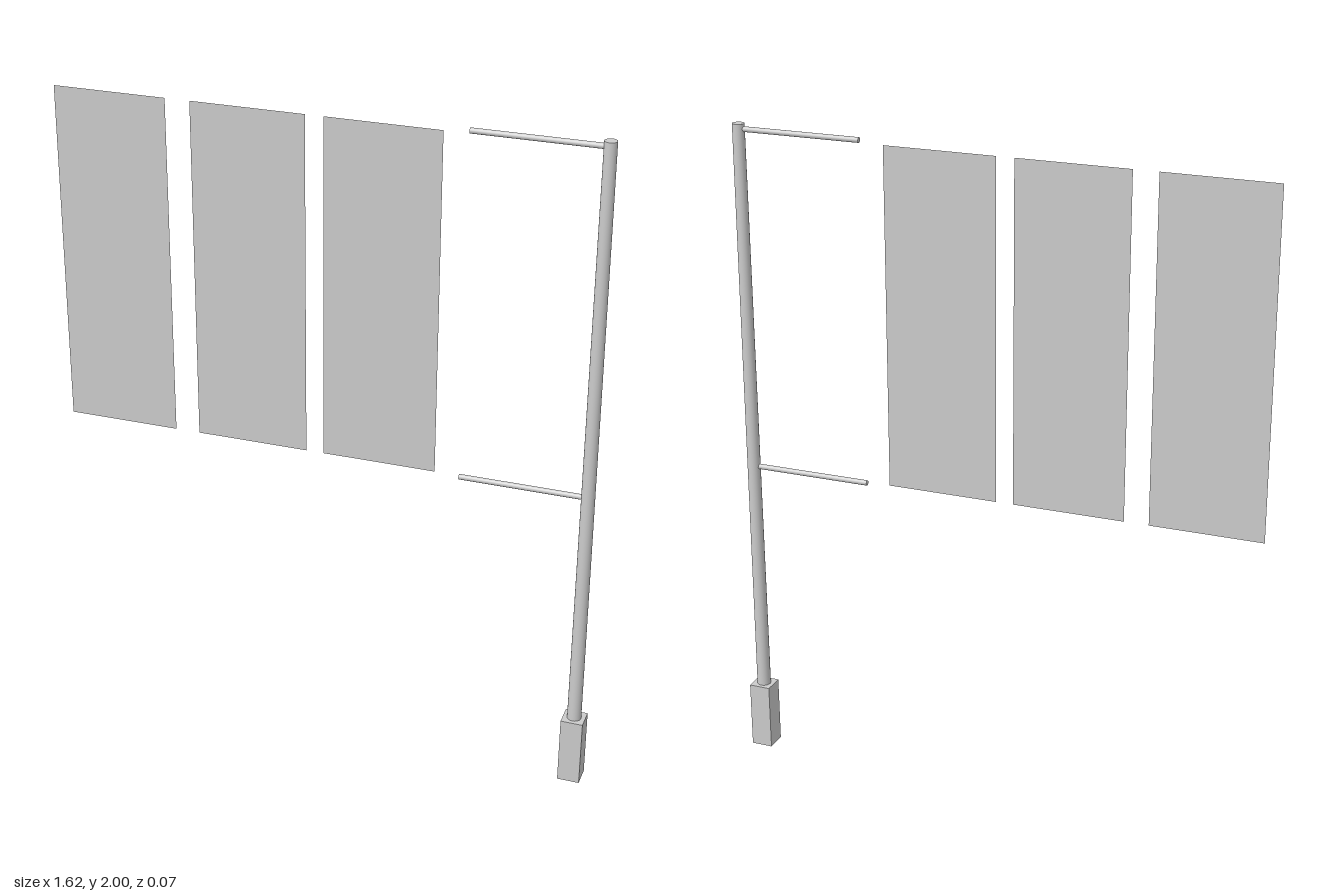
import * as THREE from 'three';

export function createModel() {
  const model = new THREE.Group();
  const grey = new THREE.MeshStandardMaterial({ color: 0xcccccc });
  const greyThin = new THREE.MeshStandardMaterial({ color: 0xcccccc, side: THREE.DoubleSide });
  const postX = 0.777;

  const add = (name, geometry, material, x, y) => {
    const mesh = new THREE.Mesh(geometry, material);
    mesh.name = name;
    mesh.position.set(x, y, 0);
    model.add(mesh);
    return mesh;
  };

  // Square footing
  add('base', new THREE.BoxGeometry(0.066, 0.208, 0.066), grey, postX, 0.104);

  // Slightly tapered post
  const postBottom = 0.208, postTop = 2;
  add('post', new THREE.CylinderGeometry(0.018, 0.021, postTop - postBottom, 24),
    grey, postX, (postBottom + postTop) / 2);

  // Two thin horizontal arms reaching from the post
  const armEnd = 0.4;
  [['upperArm', 1.984], ['lowerArm', 0.949]].forEach(([name, y]) => {
    const arm = add(name, new THREE.CylinderGeometry(0.008, 0.008, postX - armEnd, 16),
      grey, (armEnd + postX) / 2, y);
    arm.rotation.z = Math.PI / 2;
  });

  // Row of flat hanging banners beside the arms
  [-0.645, -0.233, 0.158].forEach((x, i) => {
    add(`banner${i + 1}`, new THREE.PlaneGeometry(0.338, 1.024), greyThin, x, 1.464);
  });

  return model;
}
